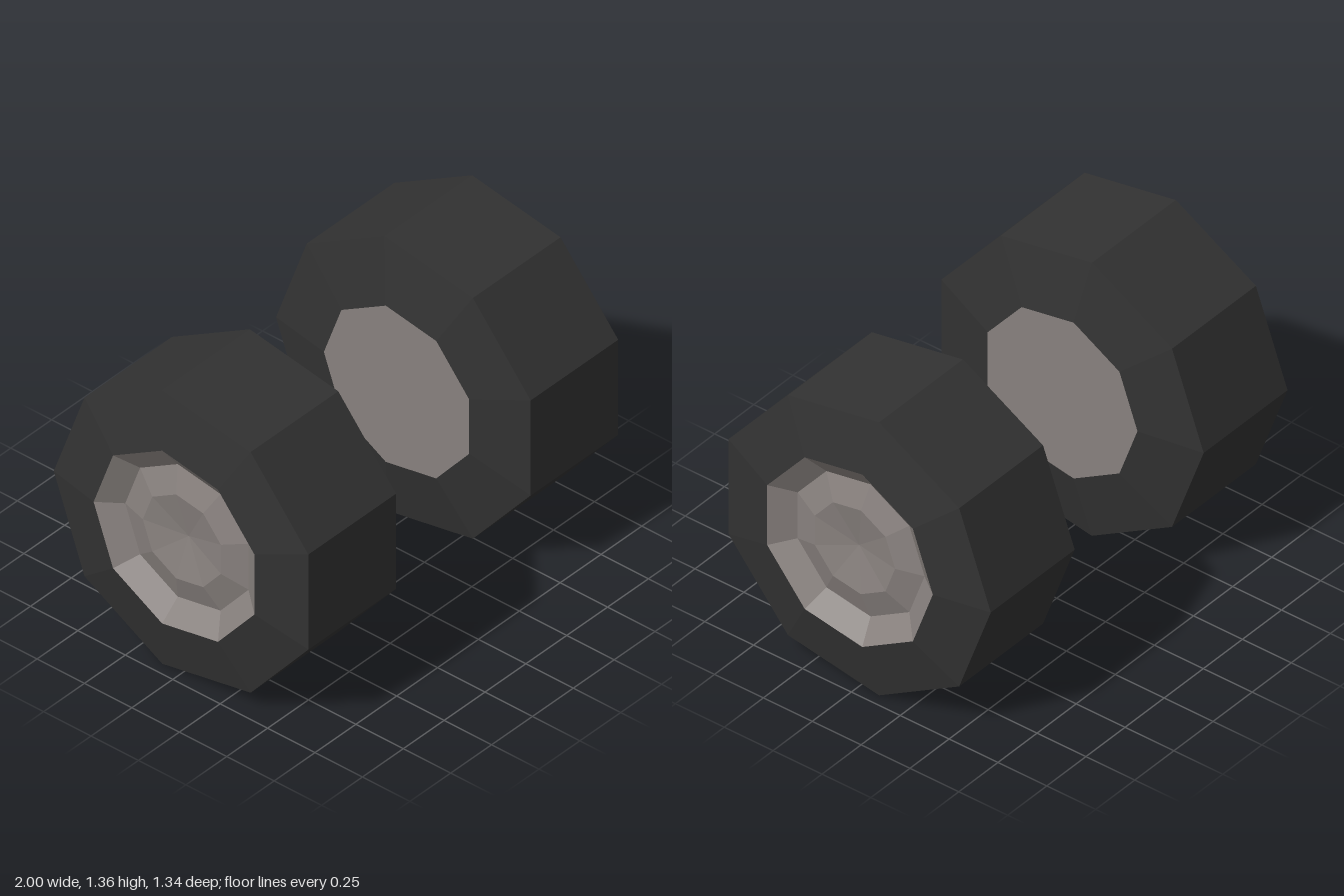
import * as THREE from 'three';

const SIDES = 9;
const CENTER_Y = 0.683;
const CENTER_Z = 0.02;

// Profiles as [radius, distance from the middle], running from inside to outside
const TIRE = [[0.395, 0.36], [0.692, 0.412], [0.692, 0.948], [0.437, 1.0]];
const RIM = [[0.437, 1.0], [0.335, 0.925], [0.212, 0.96], [0, 0.925]];
const INNER_CAP = [[0, 0.36], [0.395, 0.36]];

// Turns a profile into a faceted ring around the x axis, with one corner pointing to -z
function turned(name, profile, side, material) {
  const points = profile.map(([r, d]) => new THREE.Vector2(r, d));
  const geometry = new THREE.LatheGeometry(points, SIDES, Math.PI).toNonIndexed();
  geometry.rotateZ(-side * Math.PI / 2);
  geometry.computeVertexNormals();
  const mesh = new THREE.Mesh(geometry, material);
  mesh.name = name;
  return mesh;
}

export function createModel() {
  const rubber = new THREE.MeshStandardMaterial({ color: 0x323232, flatShading: true });
  rubber.name = 'dark rubber';
  const metal = new THREE.MeshStandardMaterial({ color: 0x88817e, flatShading: true });
  metal.name = 'warm grey metal';

  const model = new THREE.Group();
  model.name = 'wheelPair';

  // One wheel on each side, dished rims facing outward
  for (const side of [1, -1]) {
    const wheel = new THREE.Group();
    wheel.name = side > 0 ? 'leftWheel' : 'rightWheel';
    wheel.add(
      turned('tire', TIRE, side, rubber),
      turned('rim', RIM, side, metal),
      turned('innerCap', INNER_CAP, side, metal),
    );
    wheel.position.set(0, CENTER_Y, CENTER_Z);
    model.add(wheel);
  }
  return model;
}
